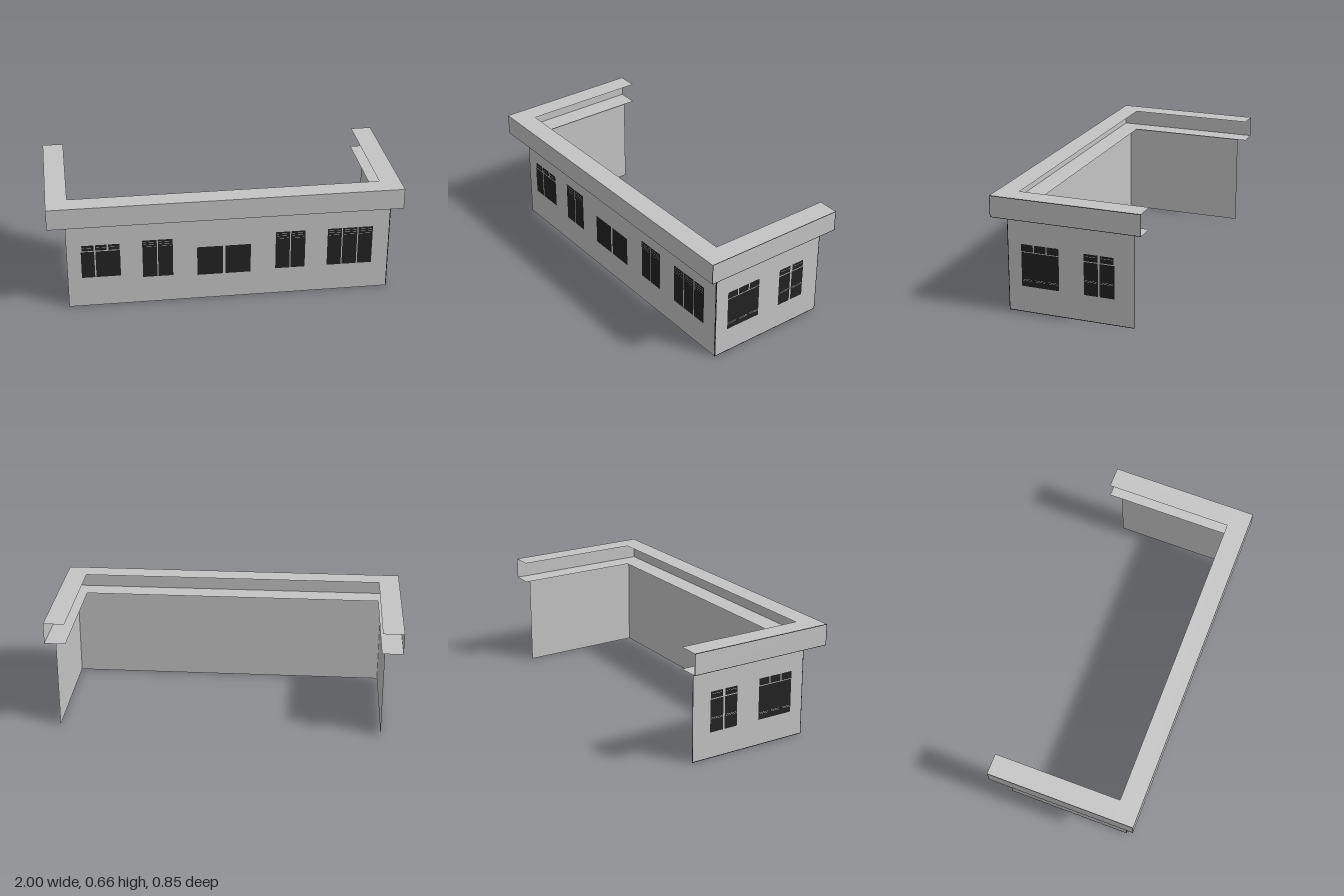
import * as THREE from 'three';

const wallMat = new THREE.MeshStandardMaterial({ color: 0xc4c4c4, side: THREE.DoubleSide });
wallMat.name = 'wall grey';
const darkMat = new THREE.MeshStandardMaterial({ color: 0x222222 });
darkMat.name = 'dark glass';

const WALL_H = 0.54, ROOF_H = 0.66;
const LEFT = 0.945, RIGHT = -0.9, FRONT = 0.35, BACK = -0.375;
const EAVE_X = 1, EAVE_FRONT = 0.423, EAVE_BACK = -0.43, EAVE_W = 0.12;

// Upright rectangle from (u0, y0) to (u1, y1), facing +z
function panel(parent, name, mat, u0, u1, y0, y1, z = 0) {
  const mesh = new THREE.Mesh(new THREE.PlaneGeometry(u1 - u0, y1 - y0), mat);
  mesh.name = name;
  mesh.position.set((u0 + u1) / 2, (y0 + y1) / 2, z);
  parent.add(mesh);
  return mesh;
}

// Level rectangle facing up
function flange(parent, name, x0, x1, z0, z1, y) {
  const mesh = new THREE.Mesh(new THREE.PlaneGeometry(x1 - x0, z1 - z0), wallMat);
  mesh.name = name;
  mesh.rotation.x = -Math.PI / 2;
  mesh.position.set((x0 + x1) / 2, y, (z0 + z1) / 2);
  parent.add(mesh);
}

// Row of panes: list of [u0, u1] spans, with light glazing bars at given heights
function windowRow(parent, spans, y0, y1, bars = []) {
  for (const [u0, u1] of spans) {
    panel(parent, 'windowPane', darkMat, u0, u1, y0, y1, 0.003);
    for (const y of bars) panel(parent, 'glazingBar', wallMat, u0 + 0.006, u1 - 0.006, y - 0.001, y + 0.001, 0.005);
  }
}

// Thin dark outline round a wall face
function outline(parent, u0, u1, y0, y1, w = 0.004) {
  panel(parent, 'topEdge', darkMat, u0, u1, y1 - w, y1, 0.001);
  panel(parent, 'bottomEdge', darkMat, u0, u1, y0, y0 + w, 0.001);
  panel(parent, 'leftEdge', darkMat, u0, u0 + w, y0, y1, 0.001);
  panel(parent, 'rightEdge', darkMat, u1 - w, u1, y0, y1, 0.001);
}

function createFrontWall() {
  const g = new THREE.Group();
  g.name = 'frontWall';
  panel(g, 'frontWallPanel', wallMat, RIGHT, LEFT, 0, WALL_H);
  panel(g, 'topEdge', darkMat, RIGHT, LEFT, WALL_H - 0.005, WALL_H, 0.001);
  panel(g, 'cornerEdge', darkMat, LEFT - 0.005, LEFT, 0, WALL_H, 0.001);
  // Window with a broad lower light and three small upper lights
  windowRow(g, [[-0.82, -0.745], [-0.738, -0.6]], 0.185, 0.35);
  windowRow(g, [[-0.815, -0.748], [-0.738, -0.675], [-0.665, -0.602]], 0.355, 0.39, [0.375]);
  // Tall casements
  const casements = [[-0.475, -0.393], [-0.387, -0.303], [0.285, 0.367], [0.373, 0.456],
    [0.585, 0.667], [0.673, 0.757], [0.763, 0.847]];
  windowRow(g, casements, 0.165, 0.4, [0.36, 0.375, 0.388]);
  // Central pair
  windowRow(g, [[-0.165, -0.018], [-0.003, 0.142]], 0.155, 0.335);
  g.position.z = FRONT;
  return g;
}

// Side wall; side = 1 for +x, -1 for -x
function createSideWall(side) {
  const g = new THREE.Group();
  g.name = side > 0 ? 'leftWall' : 'rightWall';
  // Spans are given in z and turned into the wall's own direction
  const s = (a, b) => (side > 0 ? [-b, -a] : [a, b]);
  const [u0, u1] = s(BACK, FRONT);
  panel(g, 'sideWallPanel', wallMat, u0, u1, 0, WALL_H);
  outline(g, u0, u1, 0, WALL_H);
  // Broad window with three upper lights
  windowRow(g, [s(0.053, 0.27)], 0.15, 0.345);
  for (const z of [0.06, 0.135, 0.21]) {
    const [a, b] = s(z, z + 0.055);
    for (const y of [0.184, 0.191]) panel(g, 'glazingBar', wallMat, a, b, y - 0.001, y + 0.001, 0.005);
  }
  windowRow(g, [s(0.054, 0.121), s(0.128, 0.195), s(0.202, 0.27)], 0.349, 0.39);
  // Pair of tall casements
  windowRow(g, [s(-0.17, -0.09), s(-0.263, -0.18)], 0.15, 0.338, [0.227, 0.234]);
  windowRow(g, [s(-0.168, -0.091), s(-0.26, -0.183)], 0.343, 0.383, [0.37]);
  g.rotation.y = side * Math.PI / 2;
  g.position.x = side > 0 ? LEFT : RIGHT;
  return g;
}

// Eave channel: fascia with upper and lower flanges, open inwards
function createEaves() {
  const g = new THREE.Group();
  g.name = 'eaves';
  const inner = EAVE_X - EAVE_W, innerZ = EAVE_FRONT - EAVE_W;
  panel(g, 'frontFascia', wallMat, -EAVE_X, EAVE_X, WALL_H, ROOF_H, EAVE_FRONT);
  for (const y of [WALL_H, ROOF_H]) {
    const level = y === ROOF_H ? 'upper' : 'lower';
    flange(g, level + 'FrontFlange', -EAVE_X, EAVE_X, innerZ, EAVE_FRONT, y);
    flange(g, level + 'LeftFlange', inner, EAVE_X, EAVE_BACK, innerZ, y);
    flange(g, level + 'RightFlange', -EAVE_X, -inner, EAVE_BACK, innerZ, y);
  }
  for (const side of [1, -1]) {
    const f = new THREE.Group();
    f.name = side > 0 ? 'leftFascia' : 'rightFascia';
    const [u0, u1] = side > 0 ? [-EAVE_FRONT, -EAVE_BACK] : [EAVE_BACK, EAVE_FRONT];
    panel(f, 'sideFascia', wallMat, u0, u1, WALL_H, ROOF_H);
    outline(f, u0, u1, WALL_H, ROOF_H, 0.003);
    f.rotation.y = side * Math.PI / 2;
    f.position.x = side * (EAVE_X - 0.001);
    g.add(f);
  }
  return g;
}

export function createModel() {
  const model = new THREE.Group();
  model.name = 'buildingFacade';
  model.add(createFrontWall(), createSideWall(1), createSideWall(-1), createEaves());
  return model;
}
